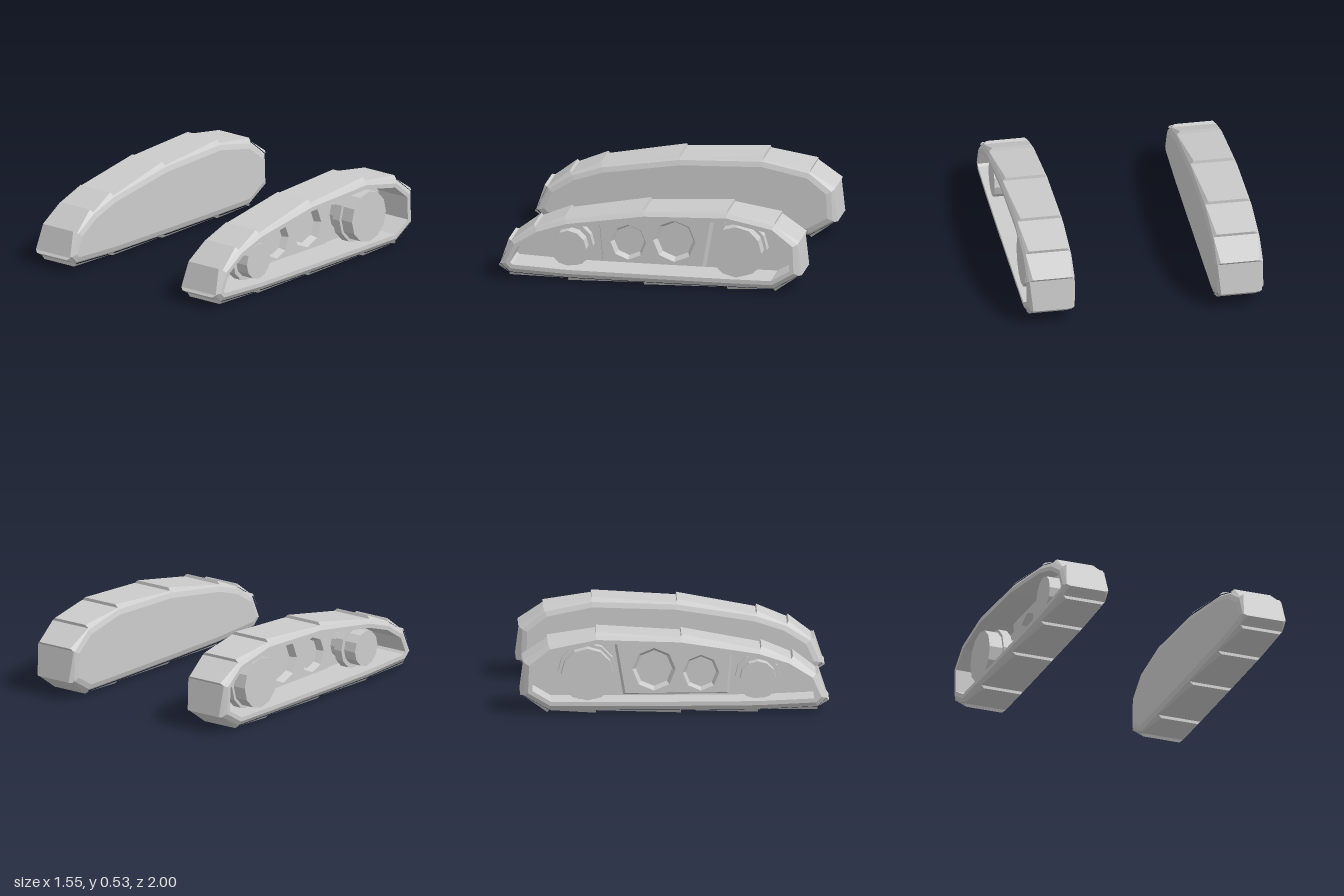
import * as THREE from 'three';

const material = new THREE.MeshStandardMaterial({ color: 0xcccccc, flatShading: true });
const CENTRE = 0.618; // x of the middle of the left track

// Side outline as [z, y]: from the nose over the top to the rear, then back underneath
const outline = [
  [0.986, 0.1], [0.915, 0.255], [0.755, 0.355], [0.555, 0.42], [0.04, 0.5], [-0.51, 0.518],
  [-0.82, 0.455], [-0.972, 0.335], [-0.98, 0.125], [-0.815, 0.028], [-0.51, 0.026],
  [0.04, 0.026], [0.54, 0.028], [0.925, 0.045],
];

const normalOf = (a, b) => {
  const dz = b[0] - a[0], dy = b[1] - a[1], l = Math.hypot(dz, dy);
  return [dy / l, -dz / l];
};

// Move every edge of a convex loop inwards by d
function inset(loop, d) {
  const n = loop.length;
  return loop.map((p, i) => {
    const m = normalOf(loop[(i + n - 1) % n], p), k = normalOf(p, loop[(i + 1) % n]);
    const f = d / (1 + m[0] * k[0] + m[1] * k[1]);
    return [p[0] - (m[0] + k[0]) * f, p[1] - (m[1] + k[1]) * f];
  });
}

const ring = (z, y, r, n) => Array.from({ length: n }, (_, i) => {
  const a = Math.PI / 2 + (i * 2 * Math.PI) / n;
  return [z + r * Math.cos(a), y + r * Math.sin(a)];
});

const point = (z, y, n) => Array.from({ length: n }, () => [z, y]);

function fromTriangles(list) {
  const g = new THREE.BufferGeometry();
  g.setAttribute('position', new THREE.Float32BufferAttribute(list.flat(2), 3));
  g.computeVertexNormals();
  return g;
}

// Skin a series of [x, loop] sections
function loft(sections) {
  const tris = [];
  const add = (...t) => {
    const key = t.map((p) => p.join());
    if (new Set(key).size === 3) tris.push(t);
  };
  for (let s = 0; s + 1 < sections.length; s++) {
    const [x0, l0] = sections[s], [x1, l1] = sections[s + 1];
    l0.forEach((p, i) => {
      const j = (i + 1) % l0.length;
      const a = [x0, p[1], p[0]], b = [x0, l0[j][1], l0[j][0]];
      const c = [x1, l1[i][1], l1[i][0]], d = [x1, l1[j][1], l1[j][0]];
      add(a, c, b);
      add(b, c, d);
    });
  }
  return fromTriangles(tris);
}

// Wedge plate: flush at a, raised and narrower at b
function plate(a, b) {
  const n = normalOf(a, b), lift = 0.021, wide = 0.146, narrow = 0.126;
  const at = (p, h, x) => [CENTRE + x, p[1] + n[1] * h, p[0] + n[0] * h];
  const a0 = at(a, 0.001, -wide), a1 = at(a, 0.001, wide);
  const t0 = at(b, lift, -narrow), t1 = at(b, lift, narrow);
  const b0 = at(b, 0, -wide), b1 = at(b, 0, wide);
  return fromTriangles([
    [a0, a1, t0], [t0, a1, t1], // top
    [t0, t1, b0], [b0, t1, b1], // raised end
    [a1, b1, t1], [a0, t0, b0], // sides
  ]);
}

// Hull closed on the inner side, open on the outer side
function hull() {
  const n = outline.length, mid = point(0, 0.26, n);
  return loft([
    [0.46, mid], [0.46, inset(outline, 0.045)], [0.472, inset(outline, 0.012)], [0.485, outline],
    [0.755, outline], [0.776, inset(outline, 0.028)], [0.776, inset(outline, 0.055)],
    [0.53, inset(outline, 0.055)], [0.53, mid],
  ]);
}

// Stepped road wheel: hub, flange and smaller cap
function wheel(z, y, flange, cap) {
  const n = 12, r = (k) => ring(z, y, k, n);
  return loft([
    [0.53, r(cap * 0.8)], [0.6, r(cap * 0.8)], [0.6, r(flange)], [0.66, r(flange)],
    [0.66, r(cap)], [0.75, r(cap)], [0.75, point(z, y, n)],
  ]);
}

// Panel between the wheels with two recessed octagons
function panelParts() {
  const edge = [[0.38, 0.375], [0.035, 0.44], [-0.39, 0.445], [-0.33, 0.088], [0.355, 0.092]];
  const x = 0.595, face = inset(edge, 0.017);
  const cups = [[0.174, 0.238, 0.118], [-0.13, 0.262, 0.14]];
  const toPoints = (loop) => loop.map(([z, y]) => new THREE.Vector2(-z, y));
  const shape = new THREE.Shape(toPoints(face));
  cups.forEach(([z, y, r]) => shape.holes.push(new THREE.Path(toPoints(ring(z, y, r, 8)))));
  const front = new THREE.ShapeGeometry(shape).toNonIndexed();
  front.rotateY(Math.PI / 2).translate(x, 0, 0);
  const parts = [['panelSides', loft([[0.53, edge], [x, face]])], ['panelFace', front]];
  cups.forEach(([z, y, r]) => parts.push(['panelRecess', loft([
    [x, ring(z, y, r, 8)], [x - 0.045, ring(z, y, r * 0.84, 8)], [x - 0.045, point(z, y, 8)],
  ])]));
  return parts;
}

// Mirror across x and restore the corner order
function mirrored(geometry) {
  const g = geometry.clone(), p = g.attributes.position, v = [];
  for (let i = 0; i < p.count; i += 3)
    for (const k of [i, i + 2, i + 1]) v.push([-p.getX(k), p.getY(k), p.getZ(k)]);
  return fromTriangles([v]);
}

export function createModel() {
  const parts = [
    ['hull', hull()],
    ['frontWheel', wheel(0.54, 0.222, 0.147, 0.118)],
    ['rearWheel', wheel(-0.565, 0.257, 0.19, 0.17)],
    ...panelParts(),
    ...outline.map((p, i) => ['trackPlate', plate(p, outline[(i + 1) % outline.length])]),
  ];
  const model = new THREE.Group();
  model.name = 'trackPair';
  for (const side of ['left', 'right']) {
    const track = new THREE.Group();
    track.name = side + 'Track';
    for (const [name, geometry] of parts) {
      const mesh = new THREE.Mesh(side === 'left' ? geometry : mirrored(geometry), material);
      mesh.name = name;
      track.add(mesh);
    }
    model.add(track);
  }
  return model;
}
